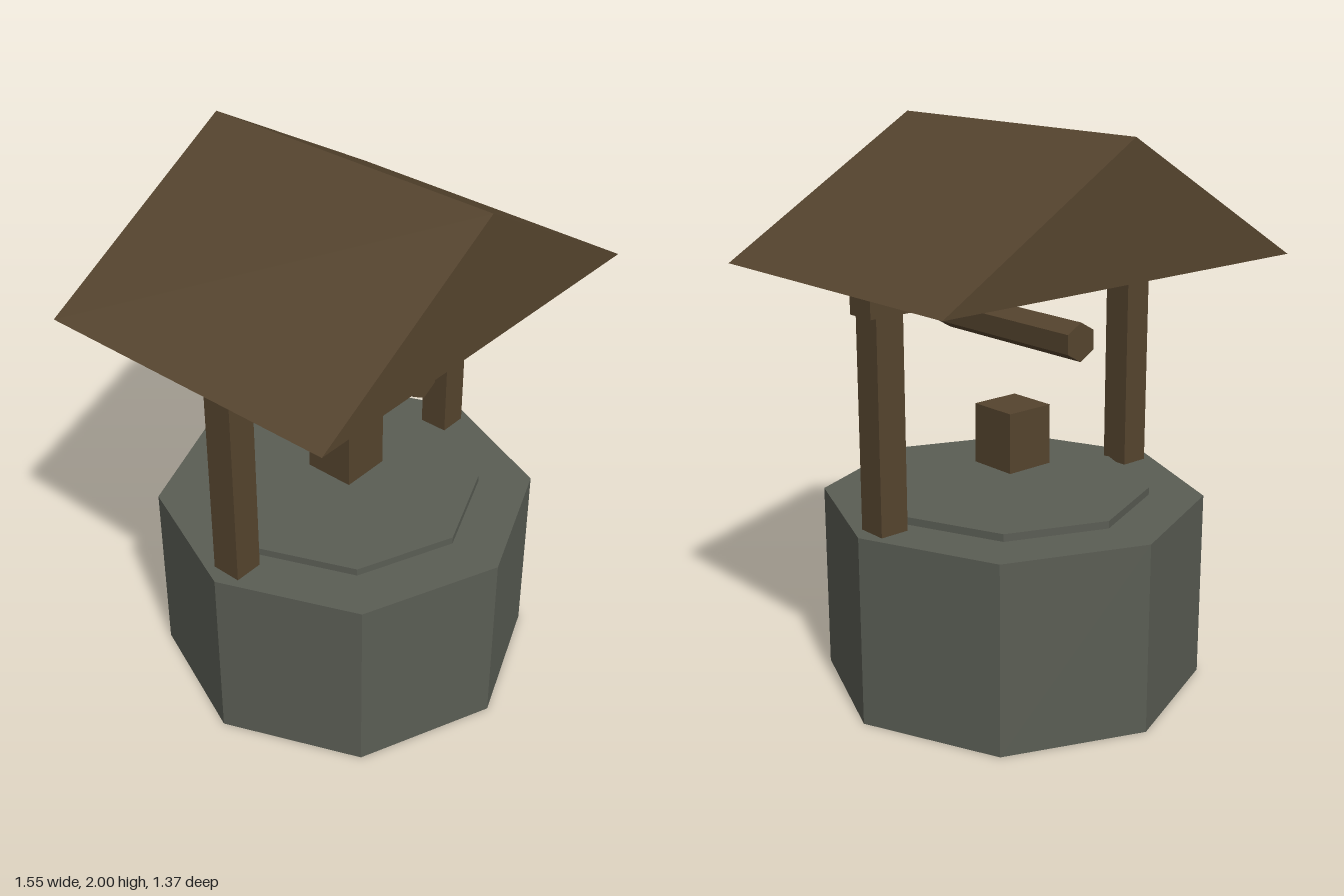
import * as THREE from 'three';

const stone = new THREE.MeshStandardMaterial({ color: 0x5a5d54, flatShading: true });
stone.name = 'stone';
const wood = new THREE.MeshStandardMaterial({ color: 0x55442e, flatShading: true });
wood.name = 'wood';

export function createModel() {
  const model = new THREE.Group();
  model.name = 'well';

  const add = (name, geometry, material, x = 0, y = 0, z = 0) => {
    const mesh = new THREE.Mesh(geometry, material);
    mesh.name = name;
    mesh.position.set(x, y, z);
    model.add(mesh);
    return mesh;
  };
  // box given by its width, depth, bottom and top
  const addBox = (name, w, d, y0, y1, x = 0) =>
    add(name, new THREE.BoxGeometry(w, y1 - y0, d), wood, x, (y0 + y1) / 2);
  // octagonal drum with a corner facing the front
  const addDrum = (name, r, y0, y1) =>
    add(name, new THREE.CylinderGeometry(r, r, y1 - y0, 8), stone, 0, (y0 + y1) / 2);

  // stone wall and the raised slab on top
  addDrum('wall', 0.685, 0, 0.685);
  addDrum('innerSlab', 0.49, 0.66, 0.712);

  // posts and crossbeam
  for (const side of [-1, 1]) {
    addBox(side > 0 ? 'leftPost' : 'rightPost', 0.108, 0.11, 0.68, 1.43, side * 0.574);
  }
  addBox('crossbeam', 1.3, 0.11, 1.43, 1.54);

  // hexagonal winding axle, running front to back
  const axle = new THREE.CylinderGeometry(0.068, 0.068, 0.685, 6).rotateX(Math.PI / 2);
  add('axle', axle, wood, 0, 1.304);

  // bucket
  addBox('bucket', 0.187, 0.187, 0.798, 1.016);

  // solid gabled roof
  const gable = new THREE.Shape([
    new THREE.Vector2(-0.777, 1.538),
    new THREE.Vector2(0.777, 1.538),
    new THREE.Vector2(0, 2),
  ]);
  const depth = 1.15;
  add('roof', new THREE.ExtrudeGeometry(gable, { depth, bevelEnabled: false }), wood, 0, 0, -depth / 2);

  return model;
}
